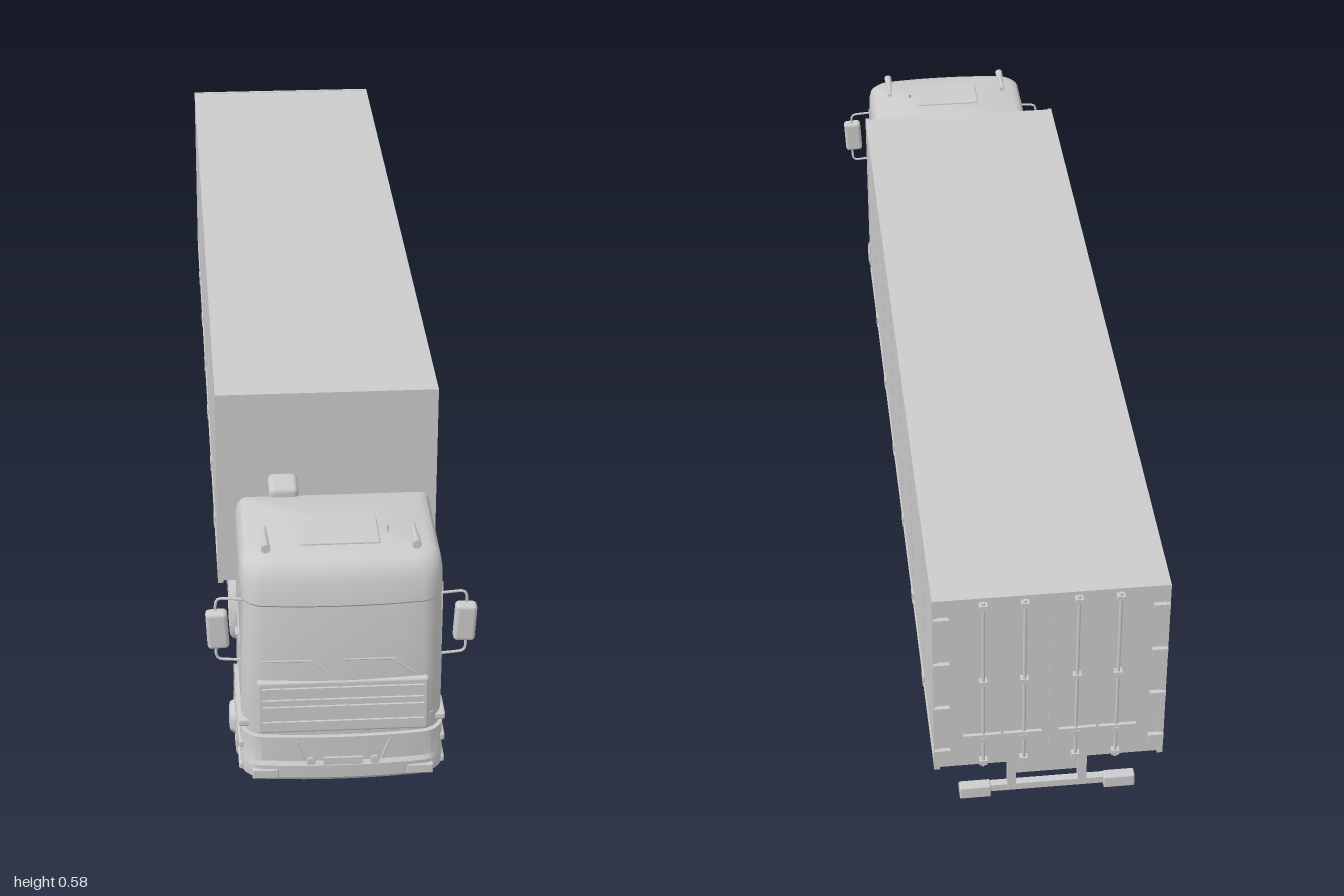
import * as THREE from 'three';
import { toCreasedNormals } from 'three/addons/utils/BufferGeometryUtils.js';
import { RoundedBoxGeometry } from 'three/addons/geometries/RoundedBoxGeometry.js';

const mat = new THREE.MeshStandardMaterial({ color: 0xcccccc, side: THREE.DoubleSide });
const V = (x, y, z) => new THREE.Vector3(x, y, z);

function add(parent, name, geo, x = 0, y = 0, z = 0) {
  const m = new THREE.Mesh(geo, mat);
  m.name = name;
  m.position.set(x, y, z);
  parent.add(m);
  return m;
}
// Box given by its limits on each axis
const box = (p, name, x0, x1, y0, y1, z0, z1) =>
  add(p, name, new THREE.BoxGeometry(Math.abs(x1 - x0), y1 - y0, Math.abs(z1 - z0)), (x0 + x1) / 2, (y0 + y1) / 2, (z0 + z1) / 2);
const soft = (p, name, x0, x1, y0, y1, z0, z1, r) =>
  add(p, name, new RoundedBoxGeometry(Math.abs(x1 - x0), y1 - y0, Math.abs(z1 - z0), 3, r), (x0 + x1) / 2, (y0 + y1) / 2, (z0 + z1) / 2);
// Rod between two points
function rod(p, name, a, b, r, sides = 10) {
  const m = add(p, name, new THREE.CylinderGeometry(r, r, a.distanceTo(b), sides));
  m.position.copy(a).add(b).multiplyScalar(0.5);
  m.quaternion.setFromUnitVectors(V(0, 1, 0), b.clone().sub(a).normalize());
  return m;
}
const pipe = (p, name, pts, r) =>
  add(p, name, new THREE.TubeGeometry(new THREE.CatmullRomCurve3(pts, false, 'catmullrom', 0.2), 32, r, 8));

// Plan outline with rounded corners and a bulging front
function planRing({ y, w, zb, zf, r = 0.035, rb = 0.012, bulge = 0.012 }) {
  const pts = [];
  const corner = (cx, cz, rad, k) => {
    for (let i = 0; i <= 5; i++) {
      const t = (k + i / 5) * Math.PI / 2;
      pts.push(V(cx + rad * Math.cos(t), y, cz + rad * Math.sin(t)));
    }
  };
  corner(w - r, zf - r, r, 0);
  for (let i = 1; i < 8; i++) pts.push(V((w - r) * (1 - i / 4), y, zf));
  corner(r - w, zf - r, r, 1);
  corner(rb - w, zb + rb, rb, 2);
  corner(w - rb, zb + rb, rb, 3);
  for (const p of pts) if (p.z > zf - r) p.z += bulge * (1 - (p.x / w) ** 2) * Math.min(1, (p.z - zf + r) / r);
  return pts;
}
// Skin between stacked outlines, capped at both ends
function loft(levels) {
  const rings = levels.map(planRing), n = rings[0].length, pos = [], idx = [];
  rings.flat().forEach(p => pos.push(p.x, p.y, p.z));
  for (let j = 0; j + 1 < rings.length; j++) for (let i = 0; i < n; i++) {
    const a = j * n + i, b = j * n + (i + 1) % n;
    idx.push(b, a, a + n, b, a + n, b + n);
  }
  [0, rings.length - 1].forEach((j, top) => {
    const c = pos.length / 3, l = levels[j];
    pos.push(0, l.y, (l.zb + l.zf) / 2);
    for (let i = 0; i < n; i++) {
      const a = j * n + i, b = j * n + (i + 1) % n;
      idx.push(...(top ? [c, b, a] : [c, a, b]));
    }
  });
  const g = new THREE.BufferGeometry();
  g.setAttribute('position', new THREE.Float32BufferAttribute(pos, 3));
  g.setIndex(idx);
  return toCreasedNormals(g, 0.6);
}

// Wheel lathes: [radius, offset along axle], inner side to outer side
const lathe = pts => toCreasedNormals(new THREE.LatheGeometry(pts.map(p => new THREE.Vector2(...p)), 36), 0.7).rotateZ(-Math.PI / 2);
const tyre = (c, h) => [[0.045, c - h + 0.004], [0.05, c - h], [0.064, c - h + 0.001], [0.071, c - h + 0.006], [0.073, c - h + 0.012],
  [0.073, c + h - 0.012], [0.071, c + h - 0.006], [0.064, c + h - 0.001], [0.05, c + h], [0.045, c + h - 0.004]];
const dualGeo = lathe([[0, -0.046], [0.04, -0.046], ...tyre(-0.025, 0.0245), ...tyre(0.025, 0.0245),
  [0.042, 0.042], [0.038, 0.018], [0.022, 0.016], [0.02, 0.036], [0.016, 0.042], [0, 0.042]]);
const singleGeo = lathe([[0, -0.022], [0.04, -0.022], ...tyre(0, 0.026),
  [0.042, 0.02], [0.036, 0.018], [0.03, 0.026], [0.026, 0.034], [0.018, 0.036], [0, 0.036]]);
function wheel(p, name, geo, s, x, z) {
  const m = add(p, name, geo, s * x, 0.073, z);
  if (s < 0) m.rotation.y = Math.PI;
  for (let i = 0; i < 10; i++) {
    const t = i * Math.PI / 5, off = geo === dualGeo ? 0.018 : 0.023;
    const nut = add(m, 'wheelNut', new THREE.CylinderGeometry(0.0025, 0.0025, 0.008, 6), off, 0.031 * Math.cos(t), 0.031 * Math.sin(t));
    nut.rotation.z = Math.PI / 2;
  }
}
// Curved mudguard around a wheel; angles in degrees, 90 is straight up
function mudguard(p, name, s, x0, x1, z, r, from, to, thick = 0.004) {
  const sh = new THREE.Shape(), a = from * Math.PI / 180, b = to * Math.PI / 180;
  sh.absarc(0, 0, r + thick, a, b, false);
  sh.absarc(0, 0, r, b, a, true);
  const g = new THREE.ExtrudeGeometry(sh, { depth: x1 - x0, bevelEnabled: false, curveSegments: 16 });
  const m = add(p, name, toCreasedNormals(g, 0.6), s > 0 ? x0 : -x1, 0.073, z);
  m.rotation.y = Math.PI / 2;
}

function buildCab(g) {
  const w = 0.172, zb = 0.71;
  add(g, 'cabShell', loft([
    { y: 0.165, w, zb, zf: 0.972 }, { y: 0.26, w, zb, zf: 0.974 }, { y: 0.385, w: 0.17, zb, zf: 0.957 },
    { y: 0.39, w: 0.171, zb, zf: 0.962 }, { y: 0.43, w: 0.171, zb, zf: 0.955 }, { y: 0.45, w: 0.168, zb: 0.713, zf: 0.946 },
    { y: 0.46, w: 0.162, zb: 0.718, zf: 0.935 }, { y: 0.465, w: 0.15, zb: 0.73, zf: 0.92 }]));
  add(g, 'bumper', loft([
    { y: 0.045, w: 0.168, zb: 0.905, zf: 0.97 }, { y: 0.06, w: 0.174, zb: 0.905, zf: 0.986 },
    { y: 0.085, w: 0.175, zb: 0.905, zf: 0.987 }, { y: 0.092, w: 0.175, zb: 0.905, zf: 0.982 }, { y: 0.14, w: 0.174, zb: 0.905, zf: 0.982 }]));
  add(g, 'lowerFront', loft([{ y: 0.138, w: 0.17, zb: 0.9, zf: 0.974 }, { y: 0.17, w: 0.171, zb: 0.9, zf: 0.974 }]));
  box(g, 'cabFloor', -0.115, 0.115, 0.11, 0.17, 0.72, 0.92);

  // Front panel, slats, plate and lamps
  soft(g, 'grillePanel', -0.146, 0.146, 0.147, 0.25, 0.965, 0.988, 0.005);
  for (const y of [0.168, 0.198, 0.212, 0.235]) box(g, 'grilleSlat', -0.138, 0.138, y, y + 0.004, 0.98, 0.992);
  box(g, 'numberPlate', -0.034, 0.034, 0.083, 0.1, 0.98, 0.998);
  for (const s of [1, -1]) {
    soft(g, 'headlight', s * 0.11, s * 0.156, 0.059, 0.078, 0.972, 0.995, 0.003);
    const fog = add(g, 'fogLight', new THREE.CylinderGeometry(0.008, 0.008, 0.012, 16), s * 0.055, 0.092, 0.991);
    fog.rotation.x = Math.PI / 2;
    rod(g, 'bumperCrease', V(s * 0.08, 0.132, 0.993), V(s * 0.066, 0.095, 0.995), 0.002, 6);
    const wx = s > 0 ? 0 : -0.14;
    rod(g, 'wiperBlade', V(wx, 0.289, 0.982), V(wx + 0.088, 0.288, 0.982), 0.0018, 6);
    rod(g, 'wiperArm', V(wx + 0.085, 0.287, 0.983), V(wx + 0.12, 0.263, 0.987), 0.0018, 6);

    // Mirrors on looped brackets
    pipe(g, 'mirrorBracket', [V(s * 0.165, 0.385, 0.935), V(s * 0.205, 0.385, 0.93), V(s * 0.213, 0.375, 0.93),
      V(s * 0.213, 0.275, 0.93), V(s * 0.205, 0.265, 0.93), V(s * 0.168, 0.265, 0.935)], 0.0025);
    const mirror = soft(g, 'mirror', s * 0.192, s * 0.229, 0.293, 0.363, 0.922, 0.946, 0.007);
    mirror.rotation.z = s * -0.05;

    // Door seams, handle, steps and wheel arch
    for (const z of [0.925, 0.775]) box(g, 'doorSeam', s * 0.168, s * 0.173, 0.19, 0.4, z - 0.001, z + 0.001);
    box(g, 'windowSill', s * 0.168, s * 0.1735, 0.285, 0.288, 0.775, 0.925);
    soft(g, 'doorHandle', s * 0.168, s * 0.177, 0.235, 0.243, 0.79, 0.815, 0.003);
    for (const y of [0.06, 0.105, 0.148]) soft(g, 'step', s * 0.13, s * 0.178, y, y + 0.014, 0.905, 0.965, 0.004);
    mudguard(g, 'wheelArch', s, 0.12, 0.179, 0.82, 0.08, 5, 190, 0.012);
    box(g, 'rearArchPanel', s * 0.13, s * 0.172, 0.13, 0.17, 0.712, 0.745);

    // Roof horns
    const horn = add(g, 'horn', new THREE.CylinderGeometry(0.008, 0.003, 0.075, 12), s * 0.127, 0.476, 0.89);
    horn.rotation.x = Math.PI / 2;
    box(g, 'hornFoot', s * 0.124, s * 0.13, 0.46, 0.474, 0.865, 0.875);
  }
  soft(g, 'roofHatch', -0.068, 0.068, 0.46, 0.469, 0.815, 0.9, 0.003);
  rod(g, 'antenna', V(0.083, 0.46, 0.86), V(0.083, 0.474, 0.855), 0.003);

  // Exhaust stack and air intake behind the cab
  pipe(g, 'exhaustStack', [V(-0.085, 0.12, 0.69), V(-0.085, 0.2, 0.692), V(-0.085, 0.46, 0.692)], 0.014);
  soft(g, 'stackCap', -0.112, -0.06, 0.455, 0.482, 0.67, 0.732, 0.01);
  soft(g, 'airIntake', 0.105, 0.155, 0.17, 0.44, 0.685, 0.715, 0.01);
  soft(g, 'airFilter', 0.06, 0.16, 0.12, 0.18, 0.645, 0.705, 0.012);
  soft(g, 'silencer', -0.165, -0.06, 0.1, 0.17, 0.66, 0.72, 0.015);
}

function buildTractorChassis(g) {
  for (const s of [1, -1]) {
    box(g, 'frameRail', s * 0.042, s * 0.056, 0.09, 0.13, 0.14, 0.95);
    wheel(g, 'frontWheel', singleGeo, s, 0.154, 0.82);
    rod(g, 'fuelTank', V(s * 0.11, 0.092, 0.535), V(s * 0.11, 0.092, 0.65), 0.034, 24);
    rod(g, 'airTank', V(s * 0.08, 0.075, 0.66), V(s * 0.08, 0.075, 0.735), 0.02, 16);
    for (const z of [0.43, 0.24]) {
      wheel(g, 'driveWheel', dualGeo, s, 0.128, z);
      mudguard(g, 'driveMudguard', s, 0.078, 0.178, z, 0.078, z > 0.3 ? 60 : 10, z > 0.3 ? 170 : 120);
      box(g, 'spring', s * 0.058, s * 0.072, 0.085, 0.1, z - 0.07, z + 0.07);
    }
    box(g, 'frontSpring', s * 0.058, s * 0.072, 0.085, 0.098, 0.73, 0.92);
    soft(g, 'rearLamp', s * 0.07, s * 0.15, 0.09, 0.115, 0.125, 0.14, 0.004);
  }
  for (const z of [0.145, 0.335, 0.53, 0.66]) box(g, 'crossMember', -0.05, 0.05, 0.095, 0.125, z - 0.008, z + 0.008);
  box(g, 'rearBeam', -0.12, 0.12, 0.095, 0.107, 0.13, 0.145);
  for (const z of [0.82, 0.43, 0.24]) rod(g, 'axle', V(-0.14, 0.073, z), V(0.14, 0.073, z), 0.012, 14);
  for (const z of [0.43, 0.24]) add(g, 'differential', new THREE.SphereGeometry(0.03, 16, 12), 0, 0.073, z);
  rod(g, 'driveShaft', V(0, 0.073, 0.24), V(0, 0.1, 0.75), 0.009, 12);
  soft(g, 'engine', -0.04, 0.04, 0.06, 0.16, 0.68, 0.93, 0.015);
  add(g, 'fifthWheel', new THREE.CylinderGeometry(0.06, 0.06, 0.016, 28), 0, 0.158, 0.33);
  box(g, 'fifthWheelBase', -0.06, 0.06, 0.128, 0.152, 0.27, 0.39);
}

function buildTrailer(g) {
  box(g, 'cargoBox', -0.198, 0.198, 0.202, 0.584, -0.988, 0.568);
  for (const s of [1, -1]) {
    box(g, 'topRail', s * 0.194, s * 0.2, 0.577, 0.585, -0.99, 0.57);
    box(g, 'bottomRail', s * 0.19, s * 0.2, 0.198, 0.21, -0.99, 0.57);
    for (const z of [0.565, -0.985]) box(g, 'cornerPost', s * 0.192, s * 0.2, 0.2, 0.585, z - 0.005, z + 0.005);
    for (const z of [0.39, 0.15, -0.09, -0.31, -0.54, -0.79]) box(g, 'panelSeam', s * 0.195, s * 0.1988, 0.21, 0.578, z - 0.0015, z + 0.0015);
    for (const z of [0.355, 0.13, -0.095, -0.32, -0.545, -0.77]) box(g, 'sideLatch', s * 0.19, s * 0.2015, 0.2, 0.222, z - 0.012, z + 0.012);

    // Rear door locking bars, handles and hinges
    for (const x of [0.045, 0.115]) {
      rod(g, 'lockBar', V(s * x, 0.205, -0.995), V(s * x, 0.58, -0.995), 0.003, 8);
      for (const y of [0.215, 0.27, 0.4, 0.57]) box(g, 'lockBracket', s * x - 0.007, s * x + 0.007, y - 0.005, y + 0.005, -1, -0.986);
      box(g, 'lockHandle', s * (x - 0.03), s * (x + 0.035), 0.276, 0.282, -1, -0.994);
    }
    for (let i = 0; i < 4; i++) box(g, 'hinge', s * 0.172, s * 0.199, 0.235 + i * 0.1, 0.247 + i * 0.1, -0.996, -0.986);

    // Underframe and running gear
    box(g, 'trailerRail', s * 0.05, s * 0.062, 0.15, 0.202, -0.96, 0.06);
    box(g, 'neckRail', s * 0.05, s * 0.062, 0.178, 0.202, 0.05, 0.55);
    box(g, 'guardStrip', s * 0.078, s * 0.178, 0.152, 0.157, -0.79, -0.34);
    for (const z of [-0.40, -0.56, -0.72]) {
      wheel(g, 'trailerWheel', dualGeo, s, 0.128, z);
      mudguard(g, 'trailerMudguard', s, 0.078, 0.178, z, 0.079, 35, 145);
      box(g, 'trailerSpring', s * 0.05, s * 0.066, 0.085, 0.1, z - 0.06, z + 0.06);
      box(g, 'springHanger', s * 0.052, s * 0.064, 0.09, 0.16, z + 0.07, z + 0.09);
      rod(g, 'brakeChamber', V(s * 0.035, 0.1, z - 0.02), V(s * 0.035, 0.1, z - 0.055), 0.015, 14);
    }
    const spare = add(g, 'spareWheel', singleGeo, s * 0.085, 0.1, -0.235);
    spare.rotation.z = -Math.PI / 2;
    rod(g, 'spareHanger', V(s * 0.085, 0.1, -0.235), V(s * 0.085, 0.2, -0.235), 0.006);

    // Landing legs
    box(g, 'landingLeg', s * 0.095, s * 0.115, 0.085, 0.2, 0.045, 0.065);
    box(g, 'landingFoot', s * 0.085, s * 0.125, 0.066, 0.072, 0.03, 0.08);
    box(g, 'landingShaft', s * 0.1, s * 0.11, 0.07, 0.09, 0.05, 0.06);
    rod(g, 'legBrace', V(s * 0.105, 0.1, 0.05), V(s * 0.08, 0.19, -0.07), 0.004);
    rod(g, 'legStay', V(s * 0.105, 0.12, 0.06), V(s * 0.105, 0.198, 0.1), 0.004);

    // Underrun bar supports and lamps
    box(g, 'underrunPost', s * 0.055, s * 0.07, 0.12, 0.202, -0.972, -0.955);
    soft(g, 'tailLamp', s * 0.1, s * 0.155, 0.112, 0.138, -0.982, -0.962, 0.003);
  }
  box(g, 'roofRail', -0.198, 0.198, 0.577, 0.585, -0.99, -0.982);
  box(g, 'doorGap', -0.0015, 0.0015, 0.21, 0.577, -0.99, -0.986);
  box(g, 'underrunBar', -0.155, 0.155, 0.116, 0.13, -0.972, -0.958);
  box(g, 'rearPanel', -0.065, 0.065, 0.15, 0.19, -0.965, -0.955);
  rod(g, 'landingCrossShaft', V(-0.1, 0.15, 0.055), V(0.1, 0.15, 0.055), 0.005);
  for (const z of [-0.40, -0.56, -0.72]) rod(g, 'trailerAxle', V(-0.14, 0.073, z), V(0.14, 0.073, z), 0.011, 14);
  for (let i = 0; i < 11; i++) box(g, 'floorBeam', -0.19, 0.19, 0.19, 0.203, -0.92 + i * 0.14, -0.908 + i * 0.14);
  rod(g, 'kingpin', V(0, 0.155, 0.33), V(0, 0.2, 0.33), 0.012, 14);
  box(g, 'couplingPlate', -0.09, 0.09, 0.168, 0.18, 0.2, 0.47);
}

export function createModel() {
  const root = new THREE.Group();
  root.name = 'articulatedTruck';
  for (const [name, build] of [['cab', buildCab], ['tractorChassis', buildTractorChassis], ['trailer', buildTrailer]]) {
    const g = new THREE.Group();
    g.name = name;
    build(g);
    root.add(g);
  }
  return root;
}
